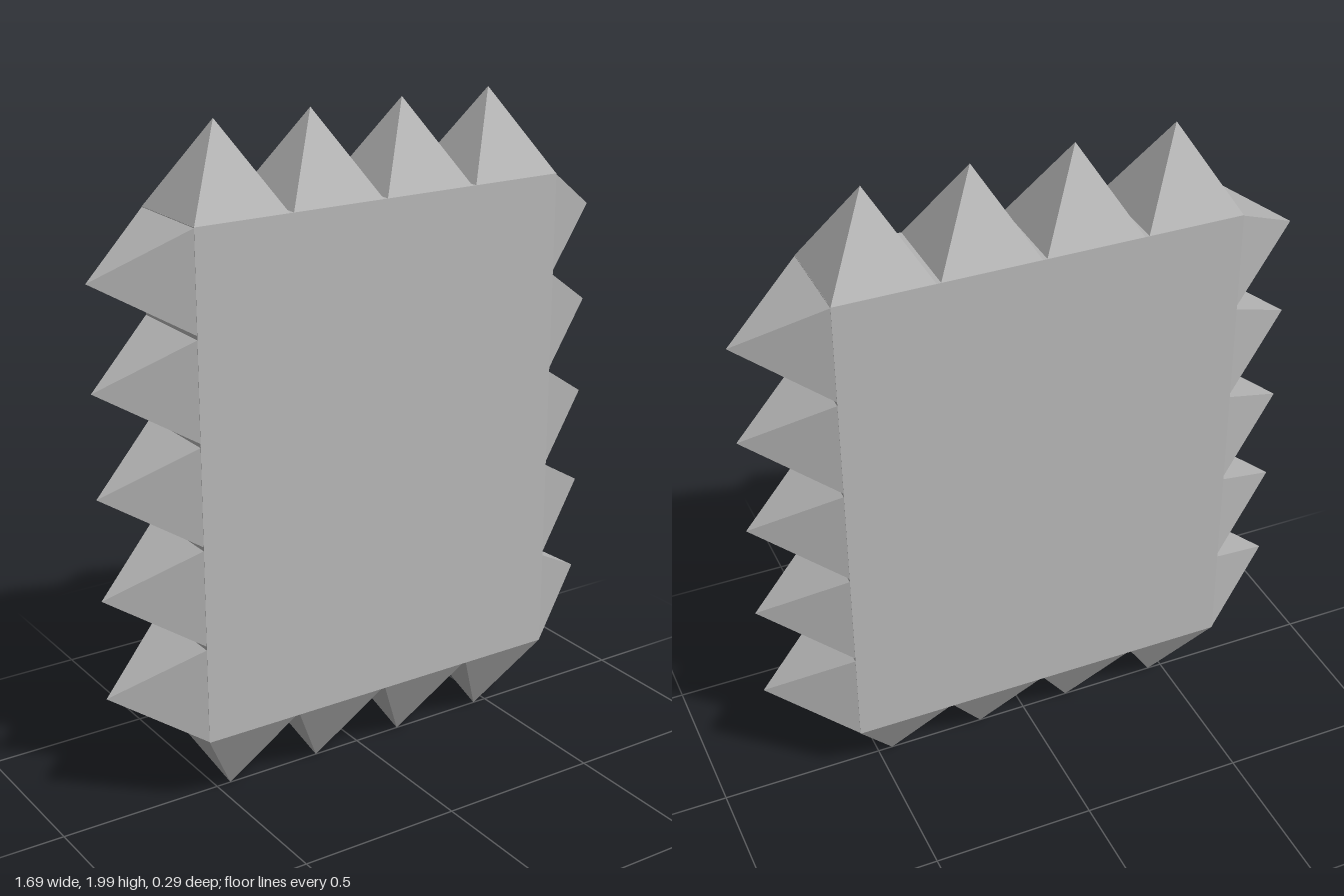
import * as THREE from 'three';

export function createModel() {
  const model = new THREE.Group();
  const grey = new THREE.MeshStandardMaterial({ color: 0xb4b4b4 });
  grey.name = 'stone grey';
  grey.flatShading = true;

  const halfWidth = 0.6, bottom = 0.252, top = 1.754, depth = 0.292;
  const middle = (bottom + top) / 2;

  // Flat slab
  const slab = new THREE.Mesh(
    new THREE.BoxGeometry(halfWidth * 2, top - bottom, depth), grey);
  slab.name = 'slab';
  slab.position.y = middle;
  model.add(slab);

  // Square pyramid standing on its base, pointing up
  const height = 0.246, base = 0.29;
  const pyramid = new THREE.ConeGeometry(base / Math.SQRT2, height, 4, 1);
  pyramid.rotateY(Math.PI / 4);
  pyramid.translate(0, height / 2, 0);

  function addSpike(name, x, y, turn) {
    const spike = new THREE.Mesh(pyramid, grey);
    spike.name = name;
    spike.position.set(x, y, 0);
    spike.rotation.z = turn;
    model.add(spike);
  }

  // Four spikes along the top and bottom edges
  for (let i = 0; i < 4; i++) {
    const x = (i - 1.5) * 0.303;
    addSpike('topSpike', x, top, 0);
    addSpike('bottomSpike', x, bottom, Math.PI);
  }

  // Five spikes along each side edge
  for (let i = 0; i < 5; i++) {
    const y = middle + (i - 2) * 0.302;
    addSpike('leftSpike', halfWidth, y, -Math.PI / 2);
    addSpike('rightSpike', -halfWidth, y, Math.PI / 2);
  }

  // Stand exactly on the ground
  model.children.forEach((part) => { part.position.y -= bottom - height; });
  return model;
}
